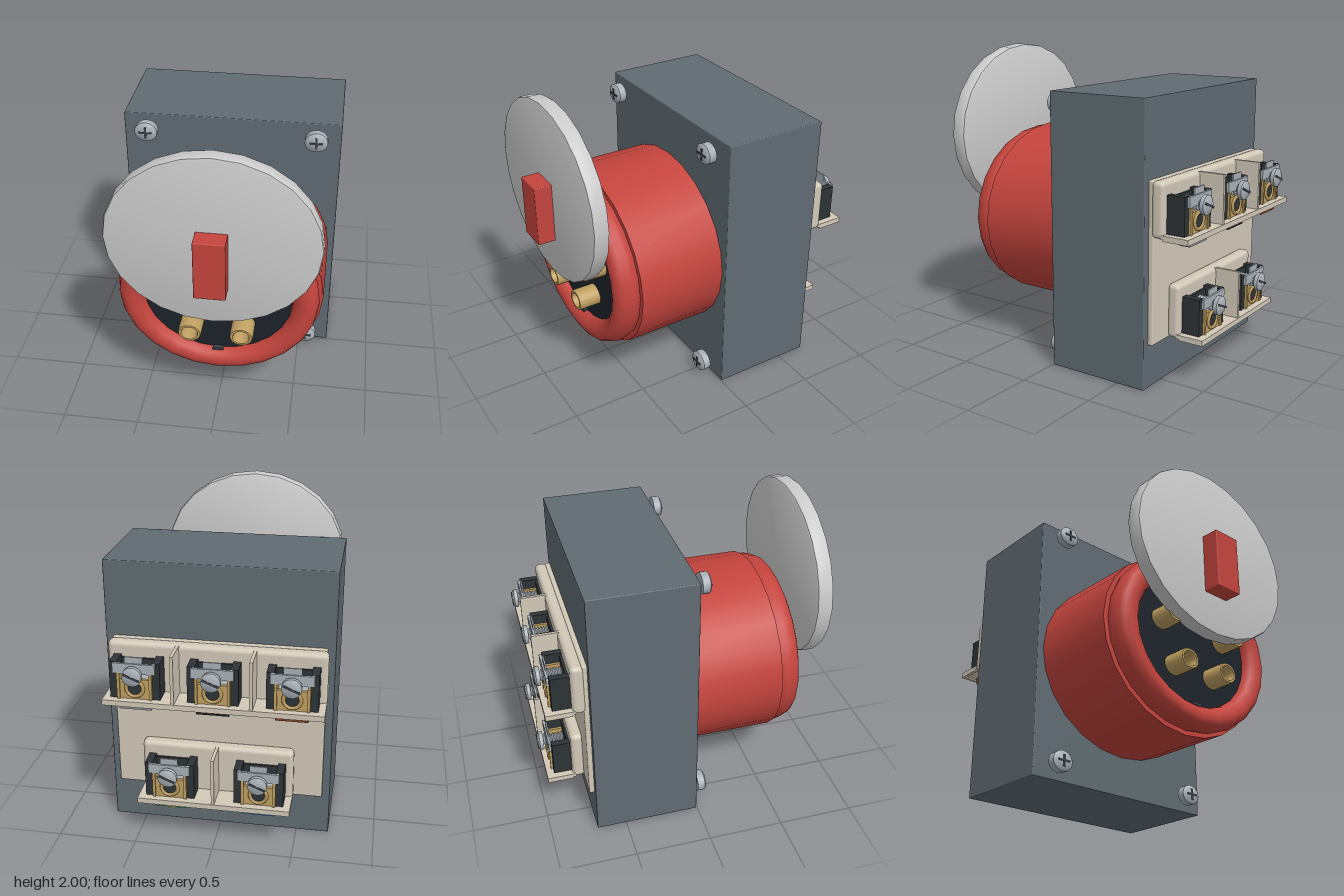
import * as THREE from 'three';
import { toCreasedNormals } from 'three/addons/utils/BufferGeometryUtils.js';
import { RoundedBoxGeometry } from 'three/addons/geometries/RoundedBoxGeometry.js';

const mat = (color, side = THREE.FrontSide) => new THREE.MeshStandardMaterial({ color, side });
const M = {
  housing: mat(0x5f6b72), red: mat(0xc4443d), lid: mat(0xd6d8d4), brass: mat(0xbf9f60, THREE.DoubleSide),
  dark: mat(0x1d232b), block: mat(0x2d3336), cream: mat(0xd2c9b8), metal: mat(0xa9b1b8), slot: mat(0x3a4147),
  grey: mat(0x8c8f92), black: mat(0x202020), brown: mat(0x7a3f20), green: mat(0x1f9a48), yellow: mat(0xd8c020), blue: mat(0x3f78c8),
};
const SQUASH = 0.892; // round front parts are slightly flattened vertically

function add(parent, name, geo, material, x = 0, y = 0, z = 0) {
  const m = new THREE.Mesh(geo, material);
  m.name = name;
  m.position.set(x, y, z);
  parent.add(m);
  return m;
}

// Box given by its limits; r > 0 rounds the edges
function box(parent, name, material, [x0, x1], [y0, y1], [z0, z1], r = 0) {
  const s = [x1 - x0, y1 - y0, z1 - z0];
  const geo = r ? new RoundedBoxGeometry(...s, 2, r) : new THREE.BoxGeometry(...s);
  return add(parent, name, geo, material, (x0 + x1) / 2, (y0 + y1) / 2, (z0 + z1) / 2);
}

// Turned part about the z axis, profile points are [radius, z]
function turned(profile, segments = 24, crease = 0.7) {
  const geo = new THREE.LatheGeometry(profile.map(p => new THREE.Vector2(...p)), segments);
  geo.rotateX(Math.PI / 2);
  return toCreasedNormals(geo, crease);
}

function group(parent, name, x = 0, y = 0, z = 0) {
  const g = new THREE.Group();
  g.name = name;
  g.position.set(x, y, z);
  parent.add(g);
  return g;
}

// Pan-head screw with a cross recess
function coverScrew(parent, x, y) {
  const g = group(parent, 'coverScrew', x, y, 0.035);
  g.scale.y = SQUASH;
  add(g, 'screwHead', turned([[0, 0], [0.074, 0], [0.074, 0.048], [0.062, 0.058], [0, 0.063]], 20), M.metal);
  for (const turn of [0, Math.PI / 2]) {
    add(g, 'crossSlot', new THREE.BoxGeometry(0.085, 0.014, 0.01), M.slot, 0, 0, 0.06).rotation.z = turn;
  }
}

// Screw terminal facing -z; y is the underside of its shelf
function terminal(parent, x, y, tabs) {
  const g = group(parent, 'terminal', x, y, 0);
  for (const s of [-1, 1]) {
    const span = (a, b) => s > 0 ? [a, b] : [-b, -a];
    box(g, 'insulatorCheek', M.block, span(0.108, 0.155), [0.03, 0.265], [-0.92, -0.79]);
    box(g, 'brassSideStrip', M.brass, span(0.09, 0.108), [0.03, 0.2], [-0.935, -0.8]);
  }
  box(g, 'insulatorBack', M.block, [-0.11, 0.11], [0.03, 0.25], [-0.815, -0.79]);
  box(g, 'clampBlock', M.metal, [-0.09, 0.09], [0.03, 0.14], [-0.905, -0.815]);
  box(g, 'brassClamp', M.brass, [-0.09, 0.09], [0.03, 0.16], [-0.925, -0.905]);
  add(g, 'brassRing', new THREE.TorusGeometry(0.052, 0.012, 6, 20), M.brass, 0, 0.1, -0.927);
  add(g, 'wireHole', new THREE.CircleGeometry(0.044, 16), M.block, 0, 0.1, -0.928).rotation.y = Math.PI;
  // Pressure plate with a bent upper edge
  box(g, 'pressurePlate', M.metal, [-0.13, 0.13], [0.2, 0.265], [-0.938, -0.922]);
  box(g, 'plateLip', M.metal, [-0.055, 0.055], [0.265, 0.305], [-0.928, -0.918]);
  // Screw with ridged shank and slotted head
  const thread = [[0, -0.96]];
  for (let i = 0; i <= 14; i++) thread.push([i % 2 ? 0.04 : 0.028, -0.955 + i * 0.0095]);
  thread.push([0, -0.82]);
  add(g, 'terminalScrewShank', turned(thread, 14, 0.5), M.metal, 0, 0.2);
  add(g, 'terminalScrewHead', turned([[0, -0.998], [0.045, -0.995], [0.061, -0.985], [0.061, -0.96], [0, -0.96]], 20), M.metal, 0, 0.2);
  add(g, 'screwSlot', new THREE.BoxGeometry(0.105, 0.014, 0.006), M.slot, 0, 0.2, -0.996).rotation.z = 0.4;
  // Wire colour tab beneath the shelf
  const w = 0.2 / tabs.length;
  tabs.forEach((t, i) => box(g, 'colourTab', M[t], [-0.1 + i * w, -0.1 + (i + 1) * w], [-0.042, 0.005], [-0.925, -0.855]));
}

// Row of terminals on a pad with a shelf and dividers
function terminalRow(parent, y, half, xs, dividers, tabs) {
  const g = group(parent, 'terminalRow');
  box(g, 'terminalPad', M.cream, [-half, half], [y, y + 0.345], [-0.8, -0.715], 0.03);
  box(g, 'terminalShelf', M.cream, [-half, half], [y + 0.005, y + 0.03], [-0.97, -0.78]);
  // Raised border and ribs under the shelf
  box(g, 'shelfBorder', M.cream, [-half, half], [y - 0.005, y + 0.006], [-0.97, -0.95]);
  for (const x of [-half + 0.01, ...dividers, half - 0.01]) {
    box(g, 'shelfRib', M.cream, [x - 0.01, x + 0.01], [y - 0.005, y + 0.006], [-0.95, -0.8]);
  }
  for (const x of dividers) box(g, 'divider', M.cream, [x - 0.01, x + 0.01], [y + 0.02, y + 0.34], [-0.965, -0.78]);
  xs.forEach((x, i) => terminal(g, x, y, tabs[i]));
}

export function createModel() {
  const root = new THREE.Group();
  root.name = 'powerInlet';

  box(root, 'housing', M.housing, [-0.708, 0.708], [0, 1.78], [-0.695, -0.005], 0.006);
  for (const x of [-0.55, 0.55]) for (const y of [0.1, 1.69]) coverScrew(root, x, y);

  // Round inlet on the front
  const inlet = group(root, 'inlet', 0, 0.855, 0);
  inlet.scale.y = SQUASH;
  add(inlet, 'collar', turned([[0.667, -0.02], [0.667, 0.582], [0.63, 0.582]]), M.red);
  add(inlet, 'collarRim', turned([
    [0.63, 0.575], [0.643, 0.61], [0.647, 0.635], [0.635, 0.685], [0.615, 0.715], [0.58, 0.73],
    [0.54, 0.727], [0.505, 0.708], [0.485, 0.685], [0.475, 0.65], [0.475, 0.6],
  ]), M.red);
  add(inlet, 'insulatorFace', turned([[0.48, 0.6], [0.48, 0.66], [0, 0.66]]), M.dark);
  box(inlet, 'keyway', M.slot, [-0.035, 0.035], [-0.482, -0.462], [0.62, 0.69]);

  // Five hollow contact pins on a circle
  const pin = turned([[0.075, 0.62], [0.075, 0.795], [0.07, 0.805], [0.055, 0.805], [0.05, 0.795], [0.05, 0.62]], 20);
  for (let i = 0; i < 5; i++) {
    const a = Math.PI / 2 + i * Math.PI * 2 / 5;
    add(inlet, 'contactPin', pin, M.brass, 0.283 * Math.cos(a), 0.283 * Math.sin(a));
  }

  // Raised lid with a grip
  const lid = group(root, 'lid', 0, 1.415, 0);
  lid.scale.y = SQUASH;
  add(lid, 'lidDisc', turned([[0, 0.78], [0.635, 0.78], [0.65, 0.787], [0.656, 0.8], [0.656, 0.87], [0.65, 0.882], [0.635, 0.886], [0, 0.886]]), M.lid);
  box(root, 'lidGrip', M.red, [-0.097, 0.097], [1.1, 1.5], [0.88, 1], 0.006);

  // Terminals on the back
  box(root, 'terminalPlate', M.cream, [-0.66, 0.66], [0.28, 1.3], [-0.728, -0.69], 0.01);
  terminalRow(root, 0.955, 0.672, [0.475, 0, -0.475], [-0.237, 0.237], [['grey'], ['black'], ['brown']]);
  terminalRow(root, 0.28, 0.48, [0.28, -0.28], [0], [['green', 'yellow', 'green'], ['blue']]);

  return root;
}
